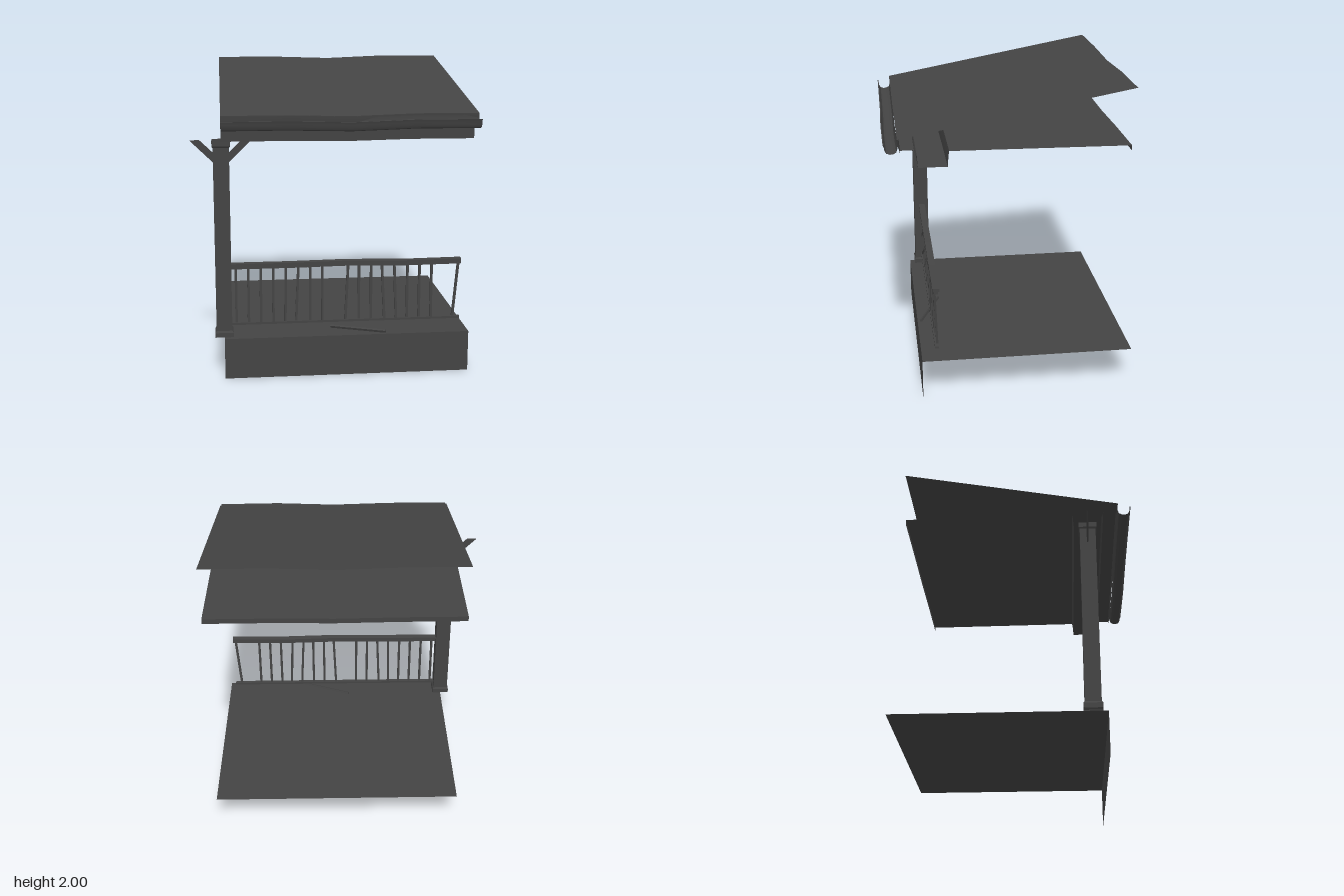
import * as THREE from 'three';
import { toCreasedNormals } from 'three/addons/utils/BufferGeometryUtils.js';

const LEFT = -0.705, RIGHT = 0.9;      // ends of the porch section
const POST_Z = 0.482, FLOOR_Y = 0.27;

// Offsets of warped boards at the joints of four equal lengths
const SAG = [0, 0, -0.013, 0.003, 0];
const BULGE = [0, 0, 0, 0.005, 0.001];
const RAIL_BOW = [0, 0, 0.005, -0.004, 0];

export function createModel() {
  const porch = new THREE.Group();
  porch.name = 'porch';
  const material = new THREE.MeshStandardMaterial({ color: 0x444444, side: THREE.DoubleSide });
  const flat = material.clone();
  flat.flatShading = true;

  const add = (name, geometry, mat = material, parent = porch) => {
    const mesh = new THREE.Mesh(geometry, mat);
    mesh.name = name;
    parent.add(mesh);
    return mesh;
  };

  // Thin sheet: an open [z, y] profile swept along x, sagging by an amount
  const sheet = (name, profile, amount = 0, bow = 0) => {
    const columns = 4;
    const g = new THREE.PlaneGeometry(1, 1, columns, profile.length - 1);
    const pos = g.attributes.position;
    for (let i = 0; i < pos.count; i++) {
      const [z, y] = profile[Math.floor(i / (columns + 1))];
      const joint = i % (columns + 1);
      const x = LEFT + (RIGHT - LEFT) * joint / columns;
      pos.setXYZ(i, x, y + amount * SAG[joint], z + bow * BULGE[joint]);
    }
    return add(name, toCreasedNormals(g, 0.7));
  };

  // Floor and front skirt
  sheet('floor', [[-0.77, FLOOR_Y], [0.575, FLOOR_Y]]);
  sheet('frontSkirt', [[0.575, FLOOR_Y], [0.575, 0]]);

  // Roof, fascia, gutter and soffit
  sheet('roof', [[-0.73, 1.996], [0.688, 1.731]], 1);
  sheet('fascia', [[0.688, 1.731], [0.684, 1.69], [0.674, 1.66], [0.671, 1.634]], 0.8);
  sheet('gutter', [[0.685, 1.72], [0.683, 1.68], [0.692, 1.655], [0.71, 1.645], [0.73, 1.643],
    [0.75, 1.65], [0.76, 1.667], [0.763, 1.685], [0.77, 1.703], [0.764, 1.704]], 0.8, 1);
  sheet('soffit', [[0.671, 1.634], [0.671, 1.665], [0.59, 1.665], [0.585, 1.645], [0.575, 1.63]], 0.6);

  // Hollow beam above the post, and ceiling with a lip at the back
  sheet('beam', [[0.575, 1.63], [0.57, 1.556], [0.395, 1.556], [0.39, 1.62], [0.385, 1.652]], 0.5);
  sheet('ceiling', [[0.385, 1.652], [-0.71, 1.645], [-0.71, 1.613]], 0.4);

  // Square hollow post with a flared base and cap
  const postProfile = [[0.059, FLOOR_Y], [0.059, 0.3], [0.051, 0.312],
    [0.051, 1.512], [0.058, 1.522], [0.058, 1.555]];
  const postGeometry = new THREE.LatheGeometry(
    postProfile.map(([half, y]) => new THREE.Vector2(half * Math.SQRT2, y)), 4);
  postGeometry.rotateY(Math.PI / 4);
  add('post', postGeometry, flat).position.set(LEFT, 0, POST_Z);

  // Diagonal brackets on both sides of the post
  for (const side of [-1, 1]) {
    const outline = [[0.05, 1.412], [0.196, 1.555], [0.134, 1.555], [0.05, 1.474]];
    const shape = new THREE.Shape(outline.map(([x, y]) => new THREE.Vector2(side * x, y)));
    const bracket = new THREE.ExtrudeGeometry(shape, { depth: 0.01, bevelEnabled: false });
    add(side > 0 ? 'leftBracket' : 'rightBracket', bracket, flat)
      .position.set(LEFT, 0, POST_Z - 0.007);
  }

  // Railing
  const railing = new THREE.Group();
  railing.name = 'railing';
  porch.add(railing);
  const rail = (name, y0, y1, depth, amount) => {
    const start = -0.655, length = 1.511;
    const g = new THREE.BoxGeometry(length, y1 - y0, depth, 4, 1, 1);
    g.translate(start + length / 2, (y0 + y1) / 2, 0.478);
    const pos = g.attributes.position;
    for (let i = 0; i < pos.count; i++) {
      const joint = Math.round(4 * (pos.getX(i) - start) / length);
      pos.setY(i, pos.getY(i) + amount * RAIL_BOW[joint]);
    }
    add(name, g, flat, railing);
  };
  rail('handrailCap', 0.728, 0.749, 0.044, 1);
  rail('handrailBody', 0.712, 0.728, 0.026, 1);
  rail('bottomRail', 0.335, 0.35, 0.026, 0);

  // Square bar between two points
  const bar = (name, from, to, parent) => {
    const a = new THREE.Vector3(...from), b = new THREE.Vector3(...to);
    const mesh = add(name, new THREE.BoxGeometry(0.016, a.distanceTo(b), 0.014), flat, parent);
    mesh.position.copy(a).add(b).multiplyScalar(0.5);
    mesh.quaternion.setFromUnitVectors(new THREE.Vector3(0, 1, 0), b.sub(a).normalize());
  };

  // Evenly spaced balusters: two missing, some leaning [x shift at top and bottom]
  const lean = { 4: [0.003, -0.003], 5: [0.004, -0.012], 9: [0.008, -0.008],
    12: [-0.009, 0.01], 13: [-0.007, 0.008], 18: [0.015, -0.014] };
  for (let i = 0; i < 19; i++) {
    if (i === 8 || i === 17) continue;
    const x = -0.625 + i * 0.0805;
    const [top, bottom] = lean[i] || [0, 0];
    bar('baluster', [x + bottom, 0.345, 0.478 + bottom * 0.3],
      [x + top, 0.72, 0.478 + top * 0.6], railing);
  }

  // Baluster lying on the floor
  bar('fallenBaluster', [0, FLOOR_Y + 0.01, 0.412], [0.35, FLOOR_Y + 0.01, 0.553], porch);

  return porch;
}
